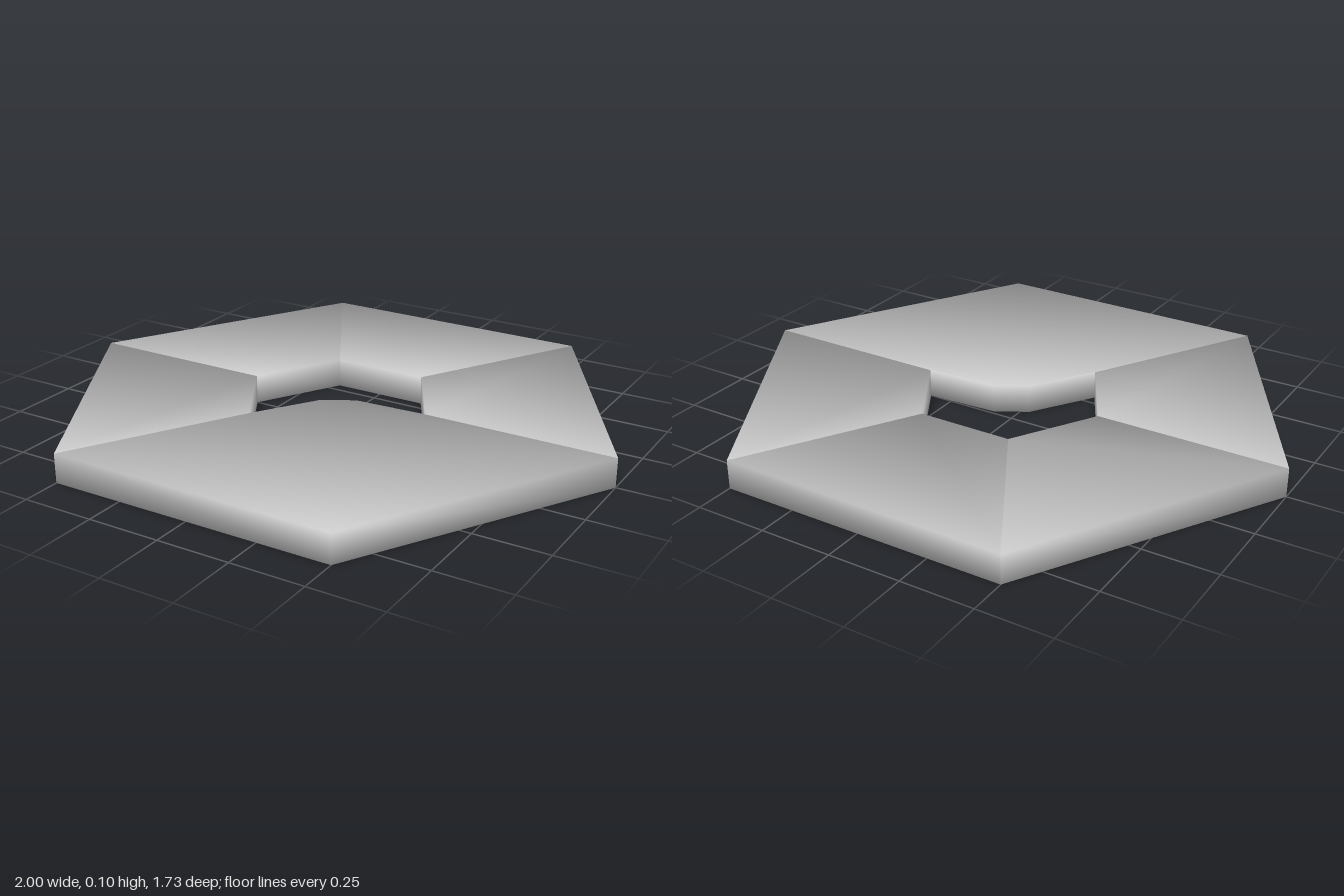
import * as THREE from 'three';
import { mergeVertices } from 'three/addons/utils/BufferGeometryUtils.js';

const HEIGHT = 0.1, OUTER = 1, INNER = 0.335;
const material = new THREE.MeshStandardMaterial({ color: 0xcccccc });

// Point on the plan (x, z) at a radius and an angle in degrees
const polar = (r, deg) => {
  const a = THREE.MathUtils.degToRad(deg);
  return new THREE.Vector2(r * Math.cos(a), r * Math.sin(a));
};

// Smooth normals across all shared corners, weighted by corner angle
function smoothByAngle(geometry) {
  geometry.deleteAttribute('normal');
  geometry.deleteAttribute('uv');
  const g = mergeVertices(geometry, 1e-4);
  const pos = g.attributes.position, idx = g.index;
  const sums = Array.from({ length: pos.count }, () => new THREE.Vector3());
  const tri = new THREE.Triangle();
  const n = new THREE.Vector3();
  for (let i = 0; i < idx.count; i += 3) {
    const ids = [idx.getX(i), idx.getX(i + 1), idx.getX(i + 2)];
    tri.setFromAttributeAndIndices(pos, ...ids);
    tri.getNormal(n);
    const p = [tri.a, tri.b, tri.c];
    ids.forEach((id, k) => {
      const u = p[(k + 1) % 3].clone().sub(p[k]);
      const v = p[(k + 2) % 3].clone().sub(p[k]);
      sums[id].addScaledVector(n, u.angleTo(v));
    });
  }
  const normals = sums.flatMap((s) => s.normalize().toArray());
  g.setAttribute('normal', new THREE.Float32BufferAttribute(normals, 3));
  return g;
}

// Flat slab standing on the ground, cut to a plan outline
function slab(name, outline) {
  const geometry = new THREE.ExtrudeGeometry(new THREE.Shape(outline), {
    depth: HEIGHT, bevelEnabled: false,
  });
  geometry.rotateX(Math.PI / 2).translate(0, HEIGHT, 0);
  const mesh = new THREE.Mesh(smoothByAngle(geometry), material);
  mesh.name = name;
  return mesh;
}

export function createModel() {
  const group = new THREE.Group();
  group.name = 'hexagonRing';

  // Four plain trapezoid segments of the ring
  ['frontRight', 'backRight', 'back', 'backLeft'].forEach((side, i) => {
    const a = 120 + i * 60;
    group.add(slab(side + 'Segment', [
      polar(OUTER, a), polar(OUTER, a + 60), polar(INNER, a + 60), polar(INNER, a),
    ]));
  });

  // Wide rhombic segment filling two sides, its inner corner rounded off
  group.add(slab('rhombicSegment', [
    polar(OUTER, 0), polar(OUTER, 60), polar(OUTER, 120), polar(INNER, 120),
    polar(0.08, 111), polar(0.08, 9), polar(INNER, 0),
  ]));

  return group;
}
